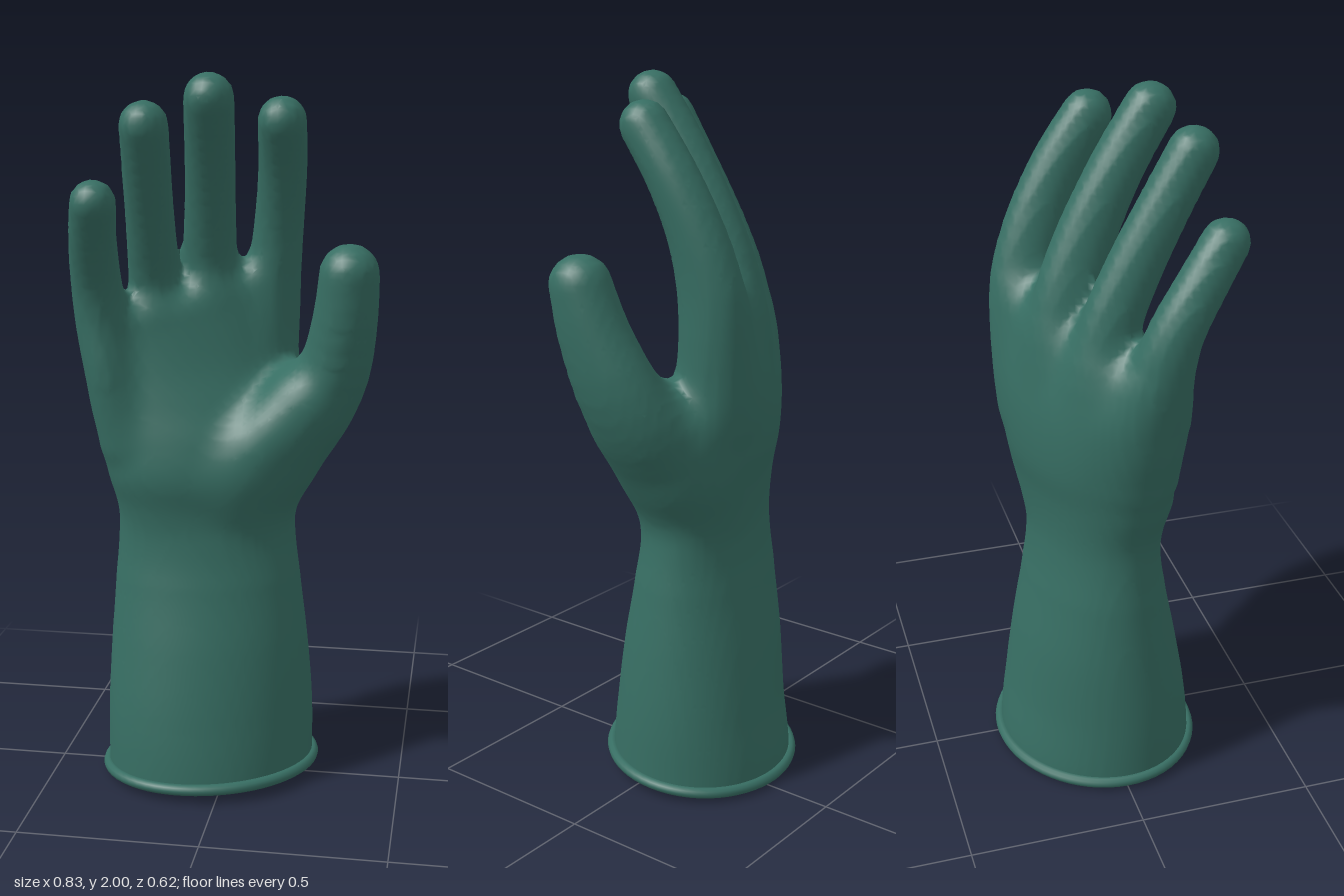
import * as THREE from 'three';

const RUBBER = new THREE.MeshStandardMaterial({ color: 0x376e63 });
RUBBER.name = 'green rubber';
RUBBER.side = THREE.DoubleSide;

// Cuff, wrist and palm: y, centre x, centre z, half width, half depth, turn (degrees), boxiness
const BODY = [
  [0.03, -0.055, -0.020, 0.304, 0.262, 30, 2],
  [0.20, -0.055, -0.018, 0.301, 0.243, 24, 2],
  [0.40, -0.059, -0.022, 0.285, 0.218, 16, 2],
  [0.60, -0.064, -0.025, 0.265, 0.184, 12, 2],
  [0.72, -0.066, -0.026, 0.253, 0.168, 13, 2],
  [0.80, -0.067, -0.026, 0.254, 0.167, 16, 2.1],
  [0.90, -0.062, -0.026, 0.286, 0.180, 19, 2.1],
  [1.00, -0.074, -0.042, 0.292, 0.180, 22, 2.1],
  [1.10, -0.094, -0.058, 0.302, 0.162, 25, 2.1],
  [1.20, -0.111, -0.068, 0.302, 0.138, 27, 2.2],
  [1.30, -0.120, -0.068, 0.300, 0.114, 28, 2.2],
  [1.40, -0.122, -0.060, 0.290, 0.088, 29, 2.3],
  [1.52, -0.122, -0.044, 0.270, 0.062, 29, 2.3],
];

// Digits from root to tip: x, y, z, radius, front-to-back radius; k is the width of the blend
const DIGITS = {
  indexFinger: { k: 0.045, rows: [
    [0.060, 1.10, -0.150, 0.075, 0.092],
    [0.085, 1.28, -0.166, 0.082, 0.096],
    [0.104, 1.45, -0.164, 0.075, 0.097],
    [0.122, 1.60, -0.130, 0.069, 0.085],
    [0.139, 1.75, -0.062, 0.067, 0.073],
    [0.147, 1.873, 0.020, 0.066, 0.067],
  ] },
  middleFinger: { k: 0.045, rows: [
    [-0.075, 1.15, -0.090, 0.070, 0.075],
    [-0.078, 1.30, -0.114, 0.082, 0.088],
    [-0.071, 1.45, -0.100, 0.077, 0.088],
    [-0.058, 1.62, -0.040, 0.070, 0.082],
    [-0.044, 1.79, 0.045, 0.068, 0.073],
    [-0.031, 1.933, 0.135, 0.067, 0.068],
  ] },
  ringFinger: { k: 0.045, rows: [
    [-0.200, 1.12, -0.030, 0.065, 0.070],
    [-0.218, 1.28, -0.045, 0.076, 0.084],
    [-0.216, 1.43, -0.020, 0.068, 0.082],
    [-0.209, 1.58, 0.043, 0.066, 0.077],
    [-0.200, 1.73, 0.122, 0.065, 0.070],
    [-0.191, 1.864, 0.198, 0.065, 0.066],
  ] },
  littleFinger: { k: 0.045, rows: [
    [-0.285, 1.00, 0.050, 0.064, 0.092],
    [-0.315, 1.18, 0.074, 0.067, 0.094],
    [-0.341, 1.33, 0.080, 0.070, 0.085],
    [-0.347, 1.45, 0.112, 0.068, 0.074],
    [-0.337, 1.57, 0.180, 0.064, 0.067],
    [-0.318, 1.668, 0.245, 0.061, 0.063],
  ] },
  ballOfThumb: { k: 0.07, rows: [
    [0.000, 0.88, 0.005, 0.095, 0.115],
    [0.090, 0.99, 0.020, 0.100, 0.122],
    [0.190, 1.10, 0.010, 0.095, 0.106],
  ] },
  thumb: { k: 0.08, rows: [
    [0.040, 0.84, -0.030, 0.105, 0.120],
    [0.133, 0.95, -0.034, 0.112, 0.135],
    [0.232, 1.075, -0.034, 0.106, 0.138],
    [0.294, 1.20, 0.000, 0.098, 0.127],
    [0.326, 1.35, 0.050, 0.088, 0.103],
    [0.338, 1.476, 0.082, 0.081, 0.085],
  ] },
};

// Catmull-Rom interpolation of every column of a station table
function sample(rows, f) {
  const n = rows.length;
  const i = Math.min(Math.floor(f), n - 2);
  const w = f - i;
  const row = (k) => rows[Math.min(Math.max(k, 0), n - 1)];
  const [A, B, C, D] = [row(i - 1), row(i), row(i + 1), row(i + 2)];
  return B.map((b, k) => {
    const a = A[k], c = C[k], d = D[k];
    return b + 0.5 * w * (c - a + w * (2 * a - 5 * b + 4 * c - d + w * (3 * (b - c) + d - a)));
  });
}

// Smooth union of two distances
function blend(a, b, k) {
  const h = Math.max(k - Math.abs(a - b), 0) / k;
  return Math.min(a, b) - h * h * k * 0.25;
}

// Distance to the turned oval sections of the body, ending at a knuckle line that climbs to the index
function bodyDistance(x, y, z) {
  const level = y - 0.33 * THREE.MathUtils.smoothstep(y, 1.15, 1.45) * (x + 0.12);
  const last = BODY.length - 1;
  let i = 0;
  while (i < last - 1 && level > BODY[i + 1][0]) i++;
  const w = (level - BODY[i][0]) / (BODY[i + 1][0] - BODY[i][0]);
  const [, cx, cz, a, b, deg, n] = sample(BODY, i + THREE.MathUtils.clamp(w, 0, 1));
  const t = THREE.MathUtils.degToRad(deg);
  const dx = x - cx, dz = z - cz;
  const p = (Math.abs(dx * Math.cos(t) - dz * Math.sin(t)) + 1e-6) / a;
  const q = (Math.abs(dx * Math.sin(t) + dz * Math.cos(t)) + 1e-6) / b;
  const s = Math.pow(Math.pow(p, n) + Math.pow(q, n), 1 / n);
  const slope = Math.hypot(Math.pow(p / s, n - 1) / a, Math.pow(q / s, n - 1) / b);
  return -blend((1 - s) / slope, 1.43 - level, 0.09);
}

// Distance to a tapering limb through a list of [x, y, z, radius, depth radius]
function limbDistance(path, x, y, z) {
  let best = Infinity;
  for (let i = 0; i < path.length - 1; i++) {
    const a = path[i], b = path[i + 1];
    const ux = b[0] - a[0], uy = b[1] - a[1], uz = b[2] - a[2];
    const dot = (x - a[0]) * ux + (y - a[1]) * uy + (z - a[2]) * uz;
    const w = Math.min(Math.max(dot / (ux * ux + uy * uy + uz * uz), 0), 1);
    const r = a[3] + (b[3] - a[3]) * w;
    const depth = a[4] + (b[4] - a[4]) * w;
    const dx = x - a[0] - ux * w, dy = y - a[1] - uy * w;
    const dz = (z - a[2] - uz * w) * r / depth;
    best = Math.min(best, Math.sqrt(dx * dx + dy * dy + dz * dz) - r);
  }
  return best;
}

// Mesh the zero surface of a distance function on a regular grid, one vertex per crossed cell
function surface(distance, min, max, h) {
  const size = min.map((m, a) => Math.ceil((max[a] - m) / h) + 1);
  const stride = [1, size[0], size[0] * size[1]];
  const field = new Float32Array(size[0] * size[1] * size[2]);
  const eachNode = (fn) => {
    for (let k = 0; k < size[2]; k++)
      for (let j = 0; j < size[1]; j++)
        for (let i = 0; i < size[0]; i++) fn([i, j, k], i + j * stride[1] + k * stride[2]);
  };
  eachNode((c, id) => {
    field[id] = distance(min[0] + c[0] * h, min[1] + c[1] * h, min[2] + c[2] * h);
  });

  // vertices: the mean of the crossings on each cell's twelve edges
  const vertex = new Map(), pos = [], index = [];
  eachNode((c, id) => {
    if (c.some((v, a) => v >= size[a] - 1)) return;
    const sum = [0, 0, 0];
    let count = 0;
    for (let corner = 0; corner < 8; corner++) {
      const bits = [corner & 1, (corner >> 1) & 1, corner >> 2];
      const from = id + bits[0] + bits[1] * stride[1] + bits[2] * stride[2];
      for (let a = 0; a < 3; a++) {
        if (bits[a]) continue;
        const d0 = field[from], d1 = field[from + stride[a]];
        if (d0 < 0 === d1 < 0) continue;
        for (let m = 0; m < 3; m++) sum[m] += bits[m] + (m === a ? d0 / (d0 - d1) : 0);
        count++;
      }
    }
    if (!count) return;
    vertex.set(id, pos.length / 3);
    for (let m = 0; m < 3; m++) pos.push(min[m] + (c[m] + sum[m] / count) * h);
  });

  // faces: one quad round every crossed grid edge
  eachNode((c, id) => {
    for (let a = 0; a < 3; a++) {
      const b = (a + 1) % 3, e = (a + 2) % 3;
      if (c[a] >= size[a] - 1 || !c[b] || !c[e]) continue;
      const inside = field[id] < 0;
      if (inside === field[id + stride[a]] < 0) continue;
      const quad = [id - stride[b] - stride[e], id - stride[e], id, id - stride[b]].map((v) => vertex.get(v));
      if (quad.includes(undefined)) continue;
      if (!inside) quad.reverse();
      index.push(quad[0], quad[1], quad[2], quad[0], quad[2], quad[3]);
    }
  });
  const g = new THREE.BufferGeometry();
  g.setAttribute('position', new THREE.Float32BufferAttribute(pos, 3));
  g.setIndex(index);
  g.computeVertexNormals();
  return g;
}

export function createModel() {
  const model = new THREE.Group();
  model.name = 'glove';

  // hand and sleeve in one seamless skin
  const limbs = Object.values(DIGITS).map(({ k, rows }) => {
    const steps = (rows.length - 1) * 3;
    return { k, path: Array.from({ length: steps + 1 }, (_, i) => sample(rows, i / 3)) };
  });
  const gloveDistance = (x, y, z) =>
    limbs.reduce((d, { k, path }) => blend(d, limbDistance(path, x, y, z), k), bodyDistance(x, y, z));
  const hand = new THREE.Mesh(surface(gloveDistance, [-0.46, 0.02, -0.34], [0.46, 2.04, 0.36], 0.018), RUBBER);
  hand.name = 'handAndSleeve';

  // rolled bead round the cuff, higher at the front
  const ring = [];
  for (let i = 0; i < 32; i++) {
    const a = (i / 32) * Math.PI * 2;
    ring.push(new THREE.Vector3(0.306 * Math.cos(a), 0.029 + 0.012 * Math.sin(a), 0.266 * Math.sin(a)));
  }
  const bead = new THREE.Mesh(
    new THREE.TubeGeometry(new THREE.CatmullRomCurve3(ring, true), 64, 0.016, 10, true), RUBBER);
  bead.name = 'cuffBead';

  // closed underside of the cuff, tilted with the bead
  const base = new THREE.Mesh(new THREE.CircleGeometry(1, 48).rotateX(Math.PI / 2).scale(0.306, 1, 0.266), RUBBER);
  base.name = 'cuffBase';
  base.position.y = 0.016;
  base.rotation.x = -0.045;

  const cuff = new THREE.Group();
  cuff.name = 'cuff';
  cuff.position.set(-0.055, 0, -0.02);
  cuff.rotation.y = THREE.MathUtils.degToRad(30);
  cuff.add(bead, base);
  model.add(hand, cuff);
  return model;
}
